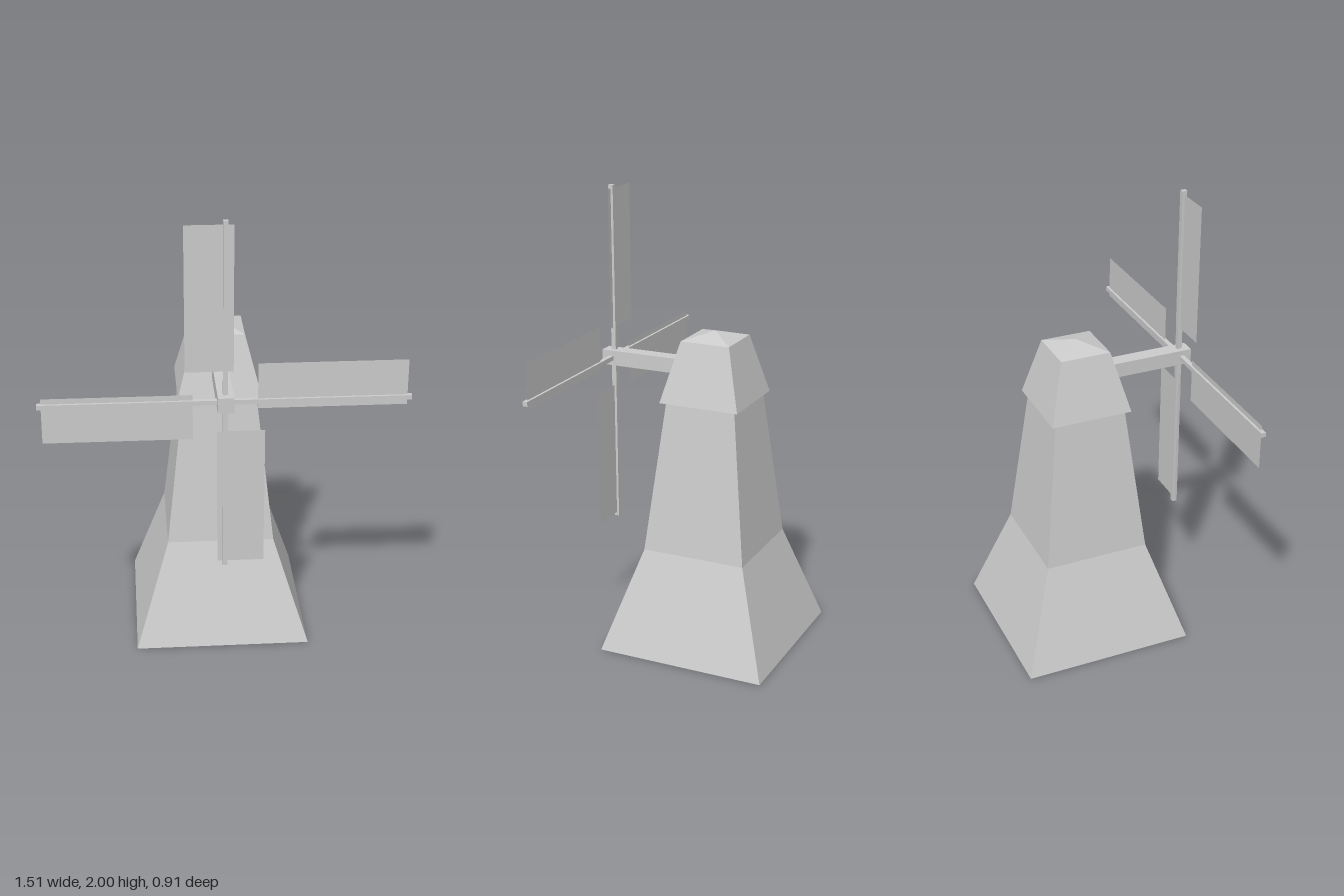
import * as THREE from 'three';

const TOWER_Z = -0.075;
const HUB_Y = 1.243;
const SAIL_Z = 0.411;

const material = new THREE.MeshStandardMaterial({ color: 0xcccccc, flatShading: true });
const sheet = new THREE.MeshStandardMaterial({ color: 0xcccccc, side: THREE.DoubleSide });

function part(name, geometry, mat = material) {
  const mesh = new THREE.Mesh(geometry, mat);
  mesh.name = name;
  return mesh;
}

// Square-plan solid from [half width, height] pairs, listed bottom to top
function squareSolid(name, profile) {
  const points = profile.map(([half, y]) => new THREE.Vector2(half * Math.SQRT2, y));
  const mesh = part(name, new THREE.LatheGeometry(points, 4, Math.PI / 4));
  mesh.position.z = TOWER_Z;
  return mesh;
}

export function createModel() {
  const model = new THREE.Group();
  model.name = 'windmill';

  // Flared tower and overhanging cap with a low pyramid roof
  model.add(squareSolid('tower', [[0, 0], [0.38, 0], [0.233, 0.453], [0.158, 1.118], [0, 1.118]]));
  model.add(squareSolid('cap', [[0, 1.118], [0.18, 1.118], [0.111, 1.381], [0, 1.415]]));

  // Square shaft running from inside the cap to the front of the rotor
  const shaft = part('shaft', new THREE.BoxGeometry(0.066, 0.066, 0.435));
  shaft.position.set(0, HUB_Y, 0.2375);
  model.add(shaft);

  // Rotor: two crossed spars and four offset sails
  const rotor = new THREE.Group();
  rotor.name = 'rotor';
  rotor.position.set(0, HUB_Y, SAIL_Z);
  for (let i = 0; i < 2; i++) {
    const spar = part('spar', new THREE.BoxGeometry(0.02, 1.514, 0.021));
    spar.rotation.z = i * Math.PI / 2;
    rotor.add(spar);
  }
  for (let i = 0; i < 4; i++) {
    const geometry = new THREE.PlaneGeometry(0.196, 0.608).translate(-0.065, 0.436, 0);
    const sail = part('sail', geometry, sheet);
    sail.rotation.z = i * Math.PI / 2;
    rotor.add(sail);
  }
  model.add(rotor);

  return model;
}
